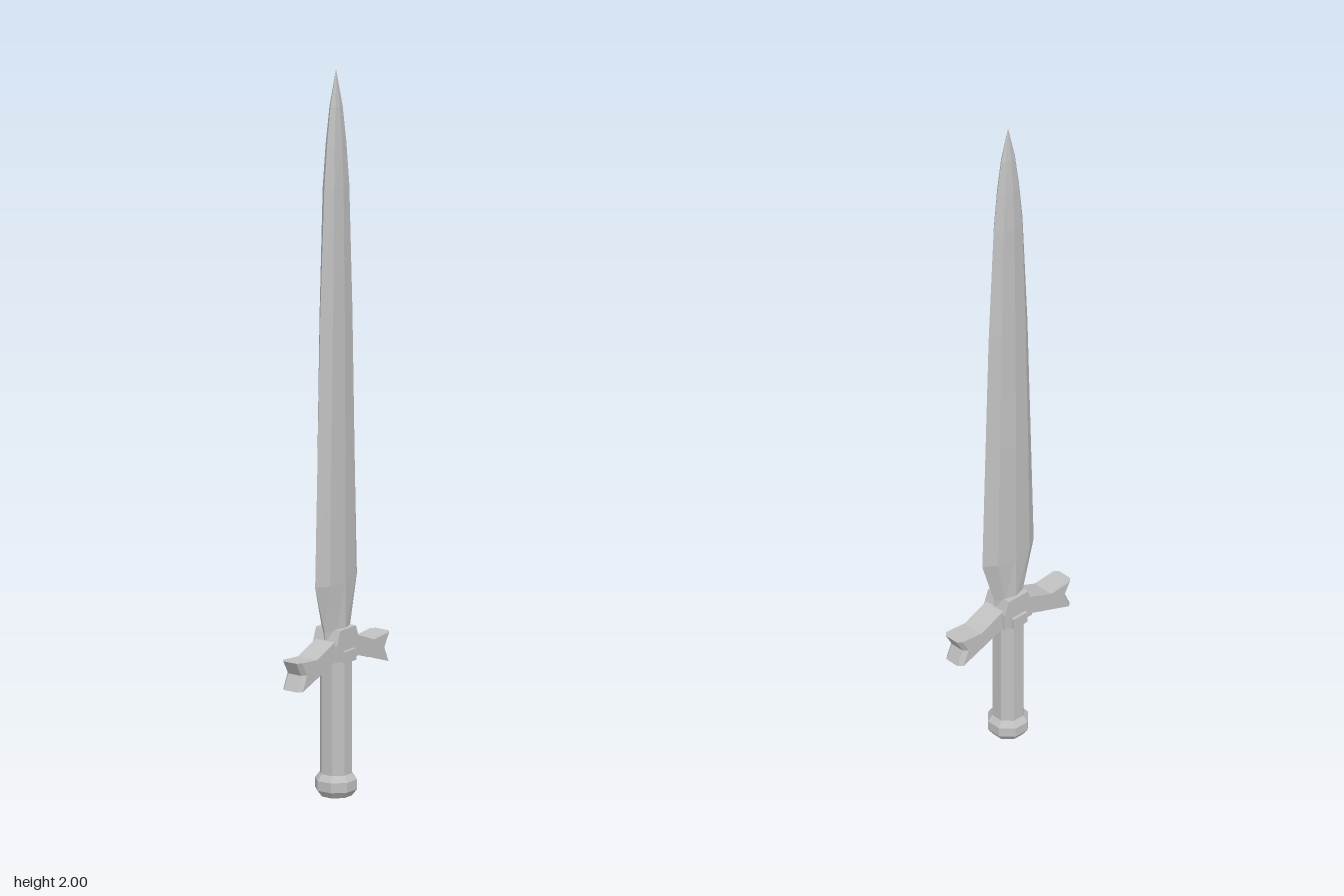
import * as THREE from 'three';

const steel = new THREE.MeshStandardMaterial({ color: 0xc0c0c0, flatShading: true });
steel.name = 'steel grey';

function part(name, geometry, y = 0) {
  const mesh = new THREE.Mesh(geometry, steel);
  mesh.name = name;
  mesh.position.y = y;
  return mesh;
}

// Profile of [z, y] points extruded across x, centred on x = 0
function sideExtrude(points, width, steps = 1) {
  const shape = new THREE.Shape(points.map(([z, y]) => new THREE.Vector2(z, y)));
  const g = new THREE.ExtrudeGeometry(shape, { depth: width, steps, bevelEnabled: false });
  g.translate(0, 0, -width / 2);
  g.rotateY(-Math.PI / 2);
  return g;
}

// Eight-sided turned part with flats facing the axes; points are [apothem, y]
function octagon(points) {
  const k = 1 / Math.cos(Math.PI / 8);
  const g = new THREE.LatheGeometry(points.map(([r, y]) => new THREE.Vector2(r * k, y)), 8);
  g.rotateY(Math.PI / 8);
  return g;
}

// Blade lofted through eight-point sections: [y, half width, half thickness, bevel z, bevel x]
function bladeGeometry() {
  const sections = [
    [0.40, 0.045, 0.030, 0.028, 0.021],
    [0.46, 0.052, 0.031, 0.032, 0.022],
    [0.59, 0.094, 0.032, 0.058, 0.023],
    [0.95, 0.083, 0.031, 0.052, 0.023],
    [1.33, 0.071, 0.029, 0.044, 0.022],
    [1.68, 0.053, 0.025, 0.034, 0.019],
    [1.80, 0.040, 0.020, 0.026, 0.015],
    [1.90, 0.025, 0.013, 0.016, 0.010],
    [2.00, 0.0005, 0.0005, 0.0003, 0.0003],
  ];
  const positions = [];
  const index = [];
  sections.forEach(([y, w, t, m, b], s) => {
    const ring = [[t, 0], [b, m], [0, w], [-b, m], [-t, 0], [-b, -m], [0, -w], [b, -m]];
    ring.forEach(([x, z]) => positions.push(x, y, z));
    if (s === 0) return;
    for (let i = 0; i < 8; i++) {
      const a = (s - 1) * 8 + i, c = (s - 1) * 8 + (i + 1) % 8;
      index.push(a, a + 8, c, c, a + 8, c + 8);
    }
  });
  const g = new THREE.BufferGeometry();
  g.setAttribute('position', new THREE.Float32BufferAttribute(positions, 3));
  g.setIndex(index);
  g.computeVertexNormals();
  return g;
}

// Guard arm with a notched, corner-cut end
function armGeometry() {
  const g = sideExtrude([
    [0.0, 0.38], [0.05, 0.38], [0.205, 0.33], [0.186, 0.372], [0.208, 0.41],
    [0.128, 0.404], [0.05, 0.435], [0.0, 0.435],
  ], 0.064, 6);
  const p = g.attributes.position;
  for (let i = 0; i < p.count; i++) {
    if (Math.abs(p.getX(i)) > 0.03 && p.getZ(i) > 0.18) p.setZ(i, p.getZ(i) - 0.012);
  }
  g.computeVertexNormals();
  return g;
}

export function createModel() {
  const sword = new THREE.Group();
  sword.name = 'sword';

  sword.add(part('blade', bladeGeometry()));

  // Grip and pommel
  sword.add(part('grip', octagon([[0.041, 0.04], [0.041, 0.39]])));
  sword.add(part('pommel', octagon([
    [0, 0], [0.04, 0], [0.053, 0.018], [0.053, 0.045], [0.041, 0.062], [0, 0.062],
  ])));

  // Guard: centre block, side bosses and two mirrored arms
  sword.add(part('guardCollar', sideExtrude([
    [-0.05, 0.38], [0.05, 0.38], [0.05, 0.425], [0.035, 0.465], [-0.035, 0.465], [-0.05, 0.425],
  ], 0.08)));
  sword.add(part('guardBoss', new THREE.BoxGeometry(0.098, 0.032, 0.05), 0.39));
  const arm = armGeometry();
  for (const side of [0, 1]) {
    const mesh = part(side ? 'backGuardArm' : 'frontGuardArm', arm);
    mesh.rotation.y = side * Math.PI;
    sword.add(mesh);
  }
  return sword;
}
